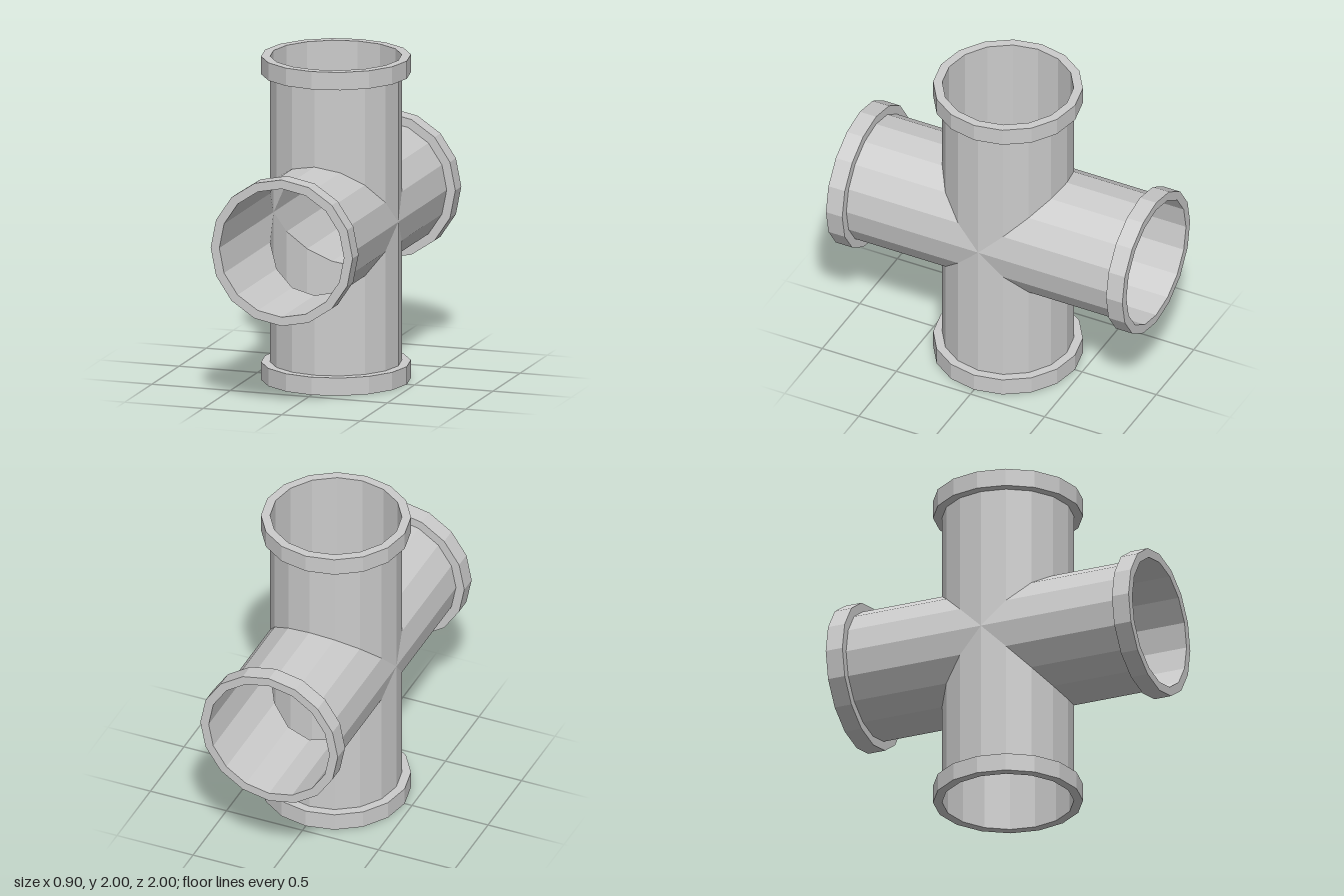
import * as THREE from 'three';

const SIDES = 16;
const PIPE_R = 0.397;
const COLLAR_R = 0.452;
const COLLAR_START = 0.89;

// Thin open pipe along +y, its inner end mitred at 45 degrees
function mitredPipe() {
  const geo = new THREE.CylinderGeometry(PIPE_R, PIPE_R, 1, SIDES, 1, true);
  geo.translate(0, 0.5, 0);
  const pos = geo.attributes.position;
  for (let i = 0; i < pos.count; i++) {
    if (pos.getY(i) < 0.5) pos.setY(i, Math.abs(pos.getZ(i)));
  }
  geo.computeVertexNormals();
  return geo;
}

// Raised ring around the open end of a pipe
function collarRing() {
  const profile = [
    [PIPE_R, COLLAR_START], [COLLAR_R, COLLAR_START], [COLLAR_R, 1], [PIPE_R, 1],
  ].map(([r, y]) => new THREE.Vector2(r, y));
  return new THREE.LatheGeometry(profile, SIDES);
}

export function createModel() {
  const model = new THREE.Group();
  model.name = 'pipeCross';
  const material = new THREE.MeshStandardMaterial({
    color: 0xcccccc, flatShading: true, side: THREE.DoubleSide,
  });
  const pipeGeo = mitredPipe();
  const collarGeo = collarRing();

  // Four identical arms, turned about the x axis
  ['top', 'front', 'bottom', 'back'].forEach((name, i) => {
    const arm = new THREE.Group();
    arm.name = name + 'Arm';
    const pipe = new THREE.Mesh(pipeGeo, material);
    pipe.name = name + 'Pipe';
    const collar = new THREE.Mesh(collarGeo, material);
    collar.name = name + 'Collar';
    arm.add(pipe, collar);
    arm.rotation.x = i * Math.PI / 2;
    arm.position.y = 1;
    model.add(arm);
  });
  return model;
}
